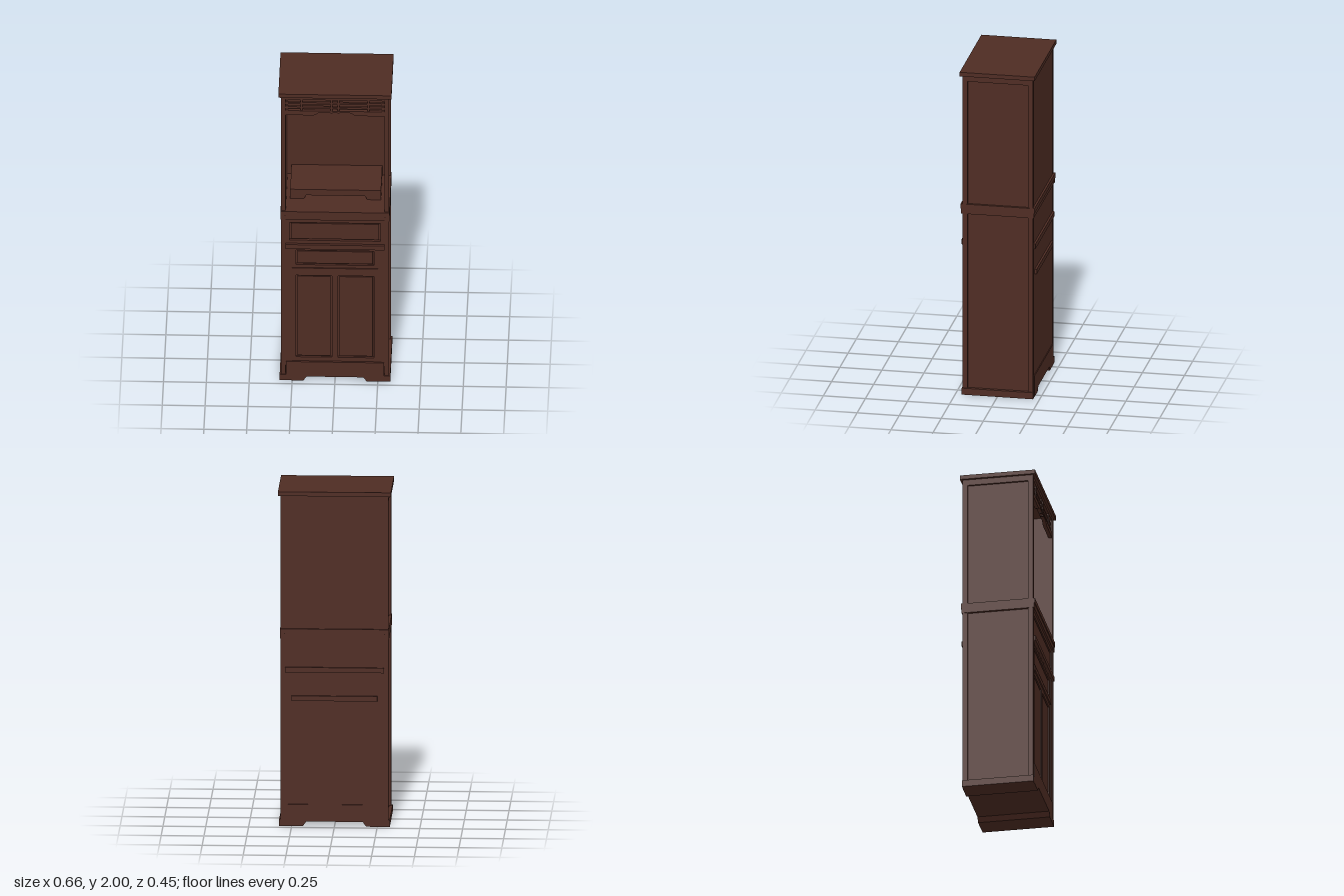
import * as THREE from 'three';

const wood = new THREE.MeshStandardMaterial({ color: 0x4f2c23 });
wood.name = 'dark brown wood';

export function createModel() {
  const cabinet = new THREE.Group();
  cabinet.name = 'tallCabinet';

  function add(name, geometry, parent = cabinet) {
    const mesh = new THREE.Mesh(geometry, wood);
    mesh.name = name;
    parent.add(mesh);
    return mesh;
  }
  // Box given by its limits on each axis
  function box(name, x0, x1, y0, y1, z0, z1, parent) {
    const g = new THREE.BoxGeometry(x1 - x0, y1 - y0, z1 - z0);
    g.translate((x0 + x1) / 2, (y0 + y1) / 2, (z0 + z1) / 2);
    return add(name, g, parent);
  }
  // Front outline extruded from z0 to z1
  function board(name, points, z0, z1, hole, parent) {
    const shape = new THREE.Shape(points.map(([x, y]) => new THREE.Vector2(x, y)));
    if (hole) shape.holes.push(new THREE.Path(hole.map(([x, y]) => new THREE.Vector2(x, y))));
    const g = new THREE.ExtrudeGeometry(shape, { depth: z1 - z0, bevelEnabled: false });
    g.translate(0, 0, z0);
    return add(name, g, parent);
  }
  const rect = (x0, x1, y0, y1) => [[x0, y0], [x1, y0], [x1, y1], [x0, y1]];
  // Framed front: outer frame with a grooved, raised centre panel
  function framedFront(name, outer, inner, z) {
    const group = new THREE.Group();
    group.name = name;
    cabinet.add(group);
    board(name + 'Frame', rect(...outer), 0.185, z, rect(...inner), group);
    const [x0, x1, y0, y1] = inner;
    const g = 0.008;
    box(name + 'Panel', x0 + g, x1 - g, y0 + g, y1 - g, 0.185, z - 0.004, group);
  }

  // Top and middle boards
  box('topBoard', -0.33, 0.33, 1.975, 2, -0.223, 0.223);
  box('worktop', -0.318, 0.318, 1.15, 1.18, -0.22, 0.22);
  box('worktopRail', -0.29, 0.29, 1.12, 1.15, -0.215, 0.215);

  // Sides with corner posts, cross rails and recessed panels
  for (const [label, s] of [['left', 1], ['right', -1]]) {
    const sideBox = (name, x0, x1, ...rest) =>
      box(label + name, Math.min(s * x0, s * x1), Math.max(s * x0, s * x1), ...rest);
    sideBox('SidePanel', 0.288, 0.302, 0.02, 1.976, -0.2, 0.2);
    sideBox('FrontPost', 0.288, 0.315, 0.02, 1.976, 0.18, 0.21);
    sideBox('BackPost', 0.288, 0.315, 0.02, 1.976, -0.21, -0.18);
    sideBox('TopSideRail', 0.295, 0.315, 1.94, 1.976, -0.18, 0.18);
    sideBox('MiddleSideRail', 0.295, 0.318, 1.12, 1.155, -0.216, 0.216);
    sideBox('Foot', 0.285, 0.323, 0, 0.04, -0.212, 0.212);
  }

  // Back and closed lower carcass
  box('backPanel', -0.29, 0.29, 0.03, 1.976, -0.208, -0.185);
  box('lowerCarcass', -0.289, 0.289, 0.03, 1.13, -0.19, 0.187);

  // Dividing boards running through the depth
  box('upperDivider', -0.29, 0.29, 0.92, 0.95, -0.22, 0.22);
  box('lowerDivider', -0.25, 0.25, 0.75, 0.78, -0.22, 0.208);

  // Drawers, inner face frame and doors
  framedFront('upperDrawer', [-0.288, 0.288, 0.95, 1.12], [-0.265, 0.265, 0.972, 1.095], 0.204);
  board('faceFrame', rect(-0.288, 0.288, 0.1, 0.92), 0.185, 0.205, rect(-0.25, 0.25, 0.12, 0.919));
  framedFront('lowerDrawer', [-0.25, 0.25, 0.78, 0.92], [-0.228, 0.228, 0.8, 0.9], 0.201);
  framedFront('rightDoor', [-0.25, -0.001, 0.12, 0.75], [-0.228, -0.018, 0.157, 0.725], 0.201);
  framedFront('leftDoor', [0.001, 0.25, 0.12, 0.75], [0.018, 0.228, 0.157, 0.725], 0.201);

  // Base with a shaped cutout underneath
  board('plinth', [
    [-0.286, 0], [-0.185, 0], [-0.165, 0.028], [0.165, 0.028],
    [0.185, 0], [0.286, 0], [0.286, 0.13], [-0.286, 0.13],
  ], -0.213, 0.213);

  // Raised shelf standing in the open niche
  board('nicheShelf', [
    [-0.265, 1.18], [-0.185, 1.18], [-0.172, 1.205], [0.172, 1.205],
    [0.185, 1.18], [0.265, 1.18], [0.265, 1.245], [-0.265, 1.245],
  ], -0.186, 0.08);

  // Lattice and shaped valance at the top of the niche
  box('latticeTopRail', -0.288, 0.288, 1.952, 1.976, 0.185, 0.207);
  for (const y of [1.925, 1.895]) box('latticeSlat', -0.288, 0.288, y - 0.006, y + 0.006, 0.188, 0.203);
  for (const x of [-0.28, -0.195, -0.02, 0.02, 0.195, 0.28]) {
    box('latticeUpright', x - 0.006, x + 0.006, 1.86, 1.96, 0.189, 0.205);
  }
  board('valance', [
    [-0.288, 1.845], [-0.125, 1.845], [-0.112, 1.85], [-0.1, 1.86], [-0.085, 1.865],
    [0.085, 1.865], [0.1, 1.86], [0.112, 1.85], [0.125, 1.845], [0.288, 1.845],
    [0.288, 1.876], [-0.288, 1.876],
  ], 0.185, 0.207);

  return cabinet;
}
